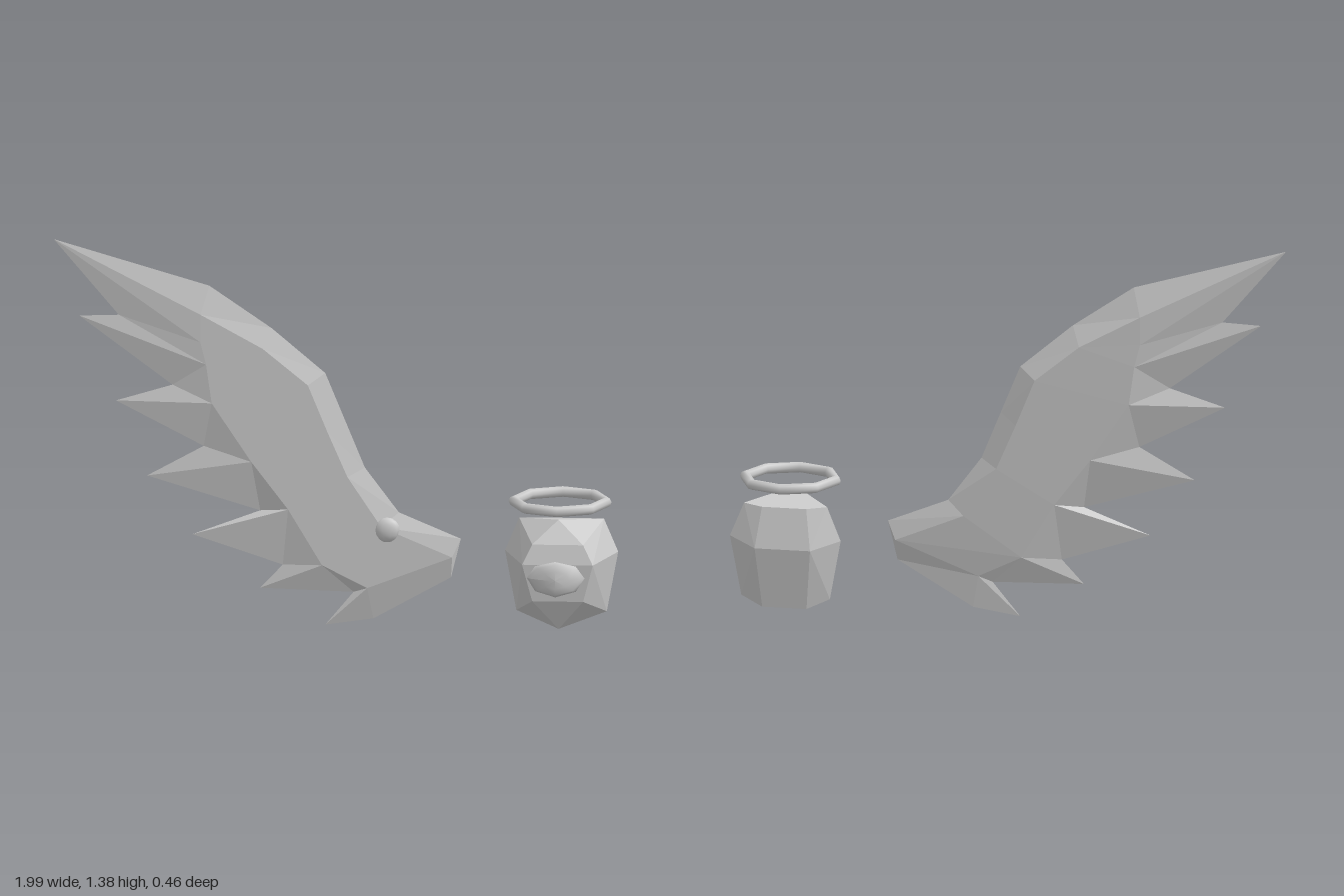
import * as THREE from 'three';
import { ConvexGeometry } from 'three/addons/geometries/ConvexGeometry.js';

const flat = () => new THREE.MeshStandardMaterial({ color: 0xcccccc, flatShading: true });
const smooth = () => new THREE.MeshStandardMaterial({ color: 0xcccccc });

function part(name, geometry, material, x = 0, y = 0, z = 0) {
  const mesh = new THREE.Mesh(geometry, material);
  mesh.name = name;
  mesh.position.set(x, y, z);
  return mesh;
}

// Wing: seven sections from tip to root, each with a leading edge point, an inset
// point, a feather crest, a feather tip and the valley below the feather.
function wingGeometry() {
  const lead = [[-0.45, 1.23], [-0.23, 1.08], [-0.04, 0.92], [0.03, 0.75], [0.1, 0.58], [0.22, 0.42], [0.44, 0.33]];
  const inset = [[-0.48, 1.13], [-0.26, 1.01], [-0.1, 0.88], [-0.03, 0.71], [0.04, 0.55], [0.16, 0.37], [0.41, 0.265]];
  const crest = [[-0.48, 1.03], [-0.46, 0.95], [-0.44, 0.81], [-0.3, 0.6], [-0.17, 0.43], [-0.05, 0.23], [0.11, 0.15]];
  const tip = [[-1, 1.39], [-0.91, 1.115], [-0.78, 0.81], [-0.67, 0.54], [-0.51, 0.33], [-0.27, 0.14], [-0.04, 0.01]];
  const valley = [[-0.77, 1.12], [-0.58, 0.87], [-0.47, 0.65], [-0.27, 0.42], [-0.19, 0.225], [0.06, 0.13]];
  const heel = [0.13, 0.035], root = [0.405, 0.19];
  const backZ = [-0.086, -0.088, -0.088, -0.085, -0.082, -0.075, -0.058];
  const positions = [];

  for (const side of [1, -1]) {
    // Edge points lie on the middle plane, inner points on the front or back face
    const mid = (p) => [...p, p[0] > 0.3 ? -0.04 : -0.05];
    const face = (list, i) => [...list[i], side > 0 ? -0.024 : backZ[i]];
    const tri = (a, b, c) => {
      const area = (b[0] - a[0]) * (c[1] - a[1]) - (b[1] - a[1]) * (c[0] - a[0]);
      positions.push(...a, ...(area * side > 0 ? [...b, ...c] : [...c, ...b]));
    };
    const L = lead.map(mid), T = tip.map(mid), V = valley.map(mid);
    const A = inset.map((_, i) => face(inset, i));
    const B = crest.map((_, i) => face(crest, i));
    const H = mid(heel), R = mid(root);

    // Tip of the leading edge
    tri(T[0], A[0], L[0]);
    tri(T[0], B[0], A[0]);
    for (let i = 0; i < 6; i++) {
      // Bevelled leading edge and flat of the wing
      tri(L[i], A[i], L[i + 1]);
      tri(A[i], A[i + 1], L[i + 1]);
      tri(A[i], B[i], A[i + 1]);
      tri(B[i], B[i + 1], A[i + 1]);
      // Feathers and the web between them
      tri(T[i], V[i], B[i]);
      tri(V[i], B[i + 1], B[i]);
      tri(T[i + 1], B[i + 1], V[i]);
    }
    // Last feather and root
    tri(T[6], H, B[6]);
    tri(H, R, B[6]);
    tri(R, A[6], B[6]);
    tri(R, L[6], A[6]);
  }
  const geometry = new THREE.BufferGeometry();
  geometry.setAttribute('position', new THREE.Float32BufferAttribute(positions, 3));
  geometry.computeVertexNormals();
  return geometry;
}

// Body: faceted hull, mirrored about its own centre line
function bodyGeometry() {
  const half = [
    [0, 0.42, 0.03], [0.15, 0.39, -0.13], [0.09, 0.34, 0.08], [0.125, 0.27, 0.095],
    [0.2, 0.27, -0.135], [0.09, 0.135, 0.08], [0, 0.025, 0.03], [0.16, 0.055, -0.13],
    [0.08, 0.385, -0.155], [0.1, 0.24, -0.185], [0.08, 0.02, -0.15],
  ];
  const points = [];
  for (const [x, y, z] of half) {
    points.push(new THREE.Vector3(x, y, z));
    if (x > 0) points.push(new THREE.Vector3(-x, y, z));
  }
  return new ConvexGeometry(points);
}

// Snout: flattened ball, bent back at both ends
function snoutGeometry() {
  const geometry = new THREE.SphereGeometry(1, 8, 6);
  geometry.rotateX(Math.PI / 2);
  geometry.scale(0.102, 0.064, 0.018);
  const p = geometry.attributes.position;
  for (let i = 0; i < p.count; i++) p.setZ(i, p.getZ(i) - 2.4 * p.getX(i) ** 2);
  geometry.computeVertexNormals();
  return geometry;
}

export function createModel() {
  const group = new THREE.Group();
  group.name = 'wingedSet';

  group.add(part('wing', wingGeometry(), flat()));

  // Shoulder stud on the wing front
  const stud = part('wingStud', new THREE.SphereGeometry(0.045, 10, 8), smooth(), 0.18, 0.36, -0.03);
  stud.scale.z = 0.5;
  group.add(stud);

  group.add(part('body', bodyGeometry(), flat(), 0.79, 0, 0));
  group.add(part('snout', snoutGeometry(), smooth(), 0.79, 0.244, 0.211));

  // Eight-sided halo
  const ring = new THREE.TorusGeometry(0.163, 0.019, 8, 8);
  ring.rotateX(Math.PI / 2);
  group.add(part('halo', ring, smooth(), 0.79, 0.467, -0.05));

  return group;
}
